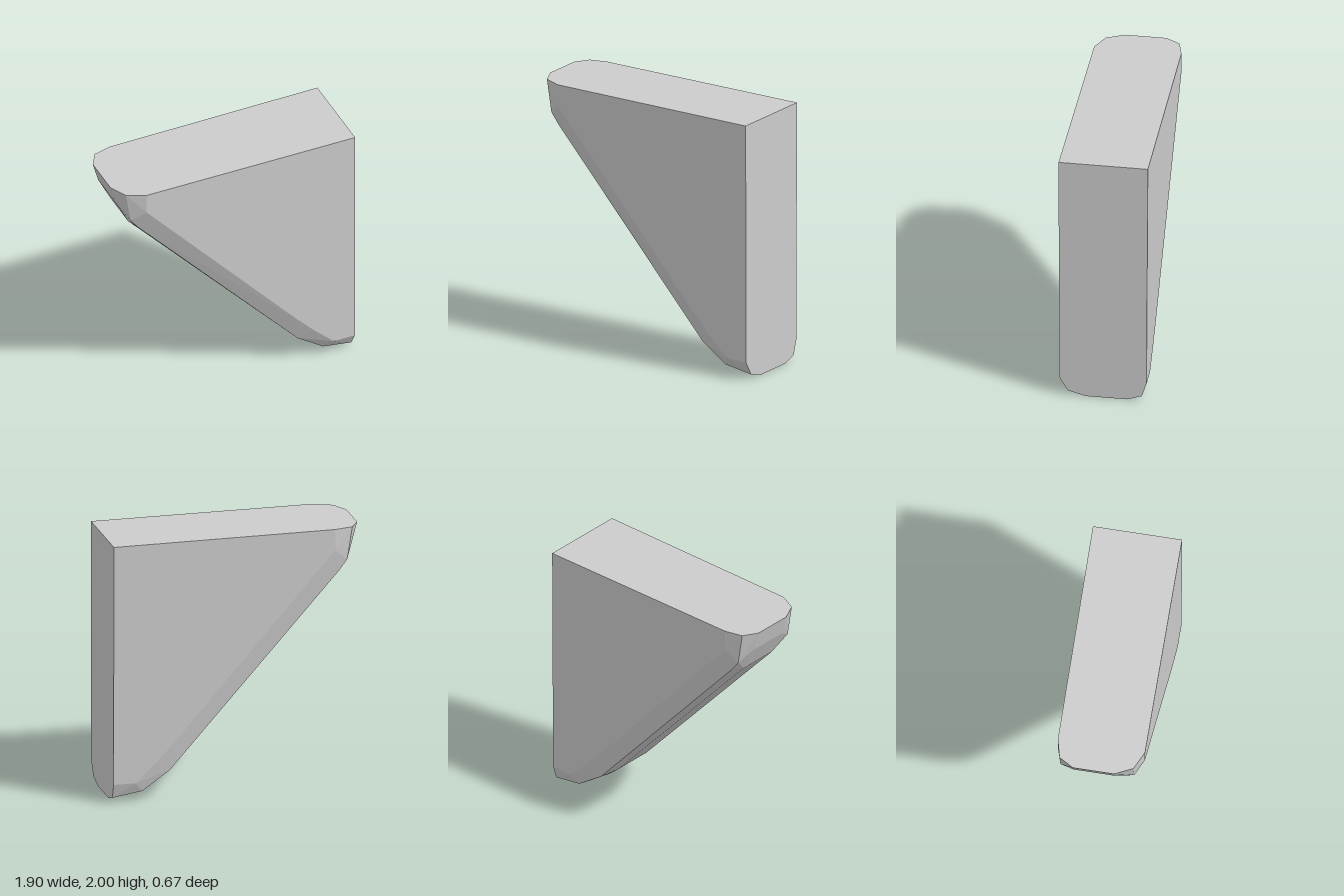
import * as THREE from 'three';
import { ConvexGeometry } from 'three/addons/geometries/ConvexGeometry.js';

// Outlines in x, y of the sloping edge, from its crest to the flat sides
const crest = [[-0.955, 2], [-0.91, 1.84], [-0.81, 1.64], [0.43, 0.27], [0.51, 0.2], [0.7, 0.065], [0.95, 0.003]];
const bevel = [[-0.89, 2], [-0.85, 1.75], [-0.79, 1.67], [0.46, 0.29], [0.51, 0.22], [0.72, 0.075], [0.95, 0.04]];
const side = [[-0.75, 2], [-0.75, 1.84], [-0.6, 1.69], [0.47, 0.46], [0.62, 0.3], [0.78, 0.15], [0.95, 0.15]];

export function createModel() {
  const group = new THREE.Group();
  const points = [];
  const addOutline = (outline, front, back) => {
    for (const [x, y] of outline) {
      points.push(new THREE.Vector3(x, y, front), new THREE.Vector3(x, y, back));
    }
  };

  // Rounded sloping edge, blended into the two flat sides
  addOutline(crest, 0.13, -0.18);
  addOutline(bevel, 0.265, -0.29);
  addOutline(side, 0.33, -0.325);
  // Square corner where the top meets the upright face
  addOutline([[0.95, 2]], 0.335, -0.335);

  const material = new THREE.MeshStandardMaterial({ color: 0xcccccc, flatShading: true });
  const wedge = new THREE.Mesh(new ConvexGeometry(points), material);
  wedge.name = 'bevelledWedge';
  group.add(wedge);
  return group;
}
